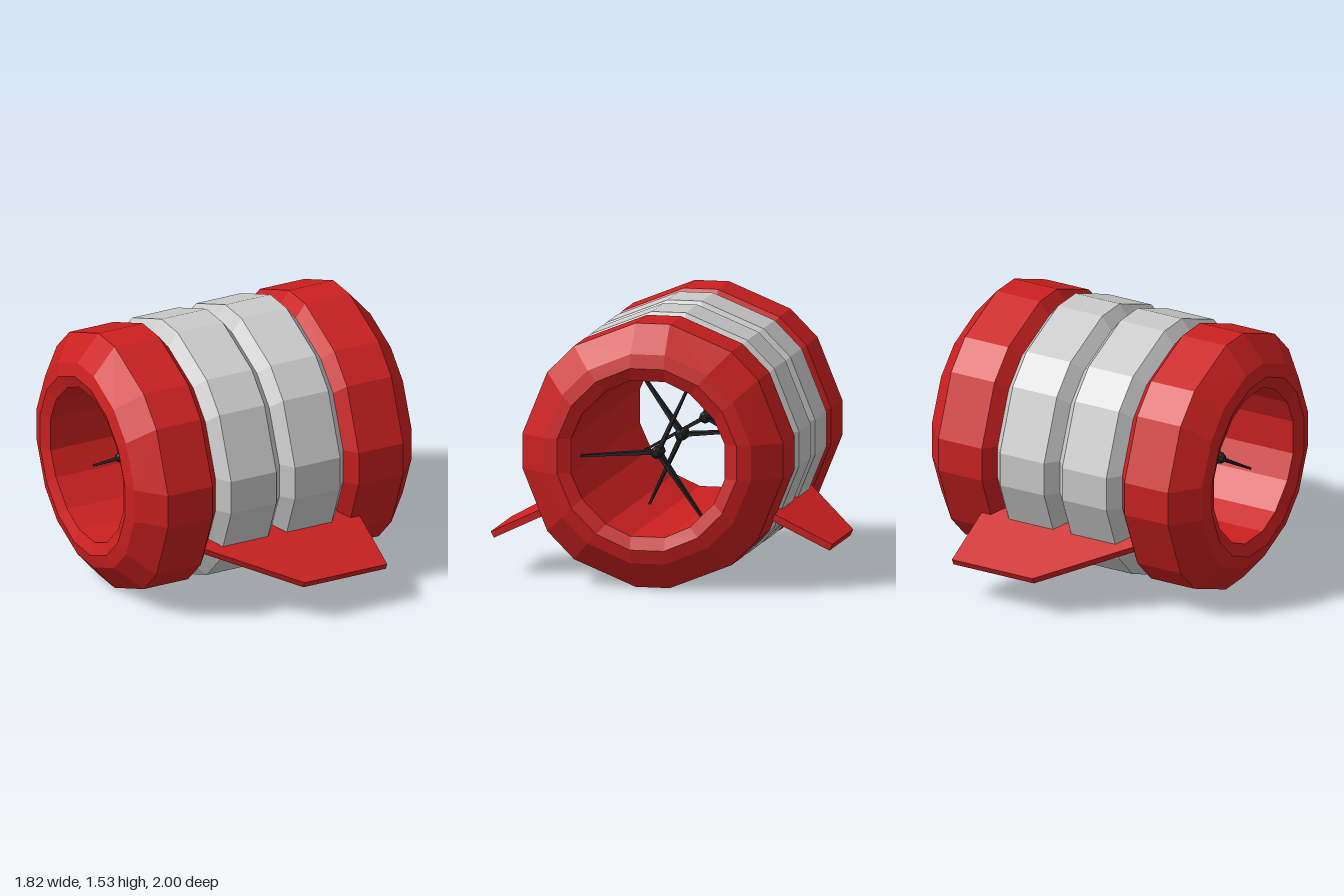
import * as THREE from 'three';

const AXIS_Y = 0.763;
const BORE = 0.45;

const mat = (color, side = THREE.FrontSide) =>
  new THREE.MeshStandardMaterial({ color, flatShading: true, side });

// Sixteen-sided cross-section [z, y] whose flats lie at distance a from the axis
function section(a) {
  const q = 0.385 + 0.742 * (a - BORE), r = 0.245 + 0.687 * (a - BORE);
  const quarter = [[a, 0.1], [q, r], [r, q], [0.1, a]];
  const pts = [];
  for (let k = 0; k < 4; k++) {
    for (const [u, v] of quarter) {
      pts.push([[u, v], [-v, u], [-u, -v], [v, -u]][k]);
    }
  }
  return pts;
}

// Sweeps a profile of [x, a] points around the x axis
function ringGeometry(profile) {
  const pos = [], idx = [], n = 16;
  for (const [x, a] of profile) {
    for (const [z, y] of section(a)) pos.push(x, y, z);
  }
  for (let i = 0; i < profile.length - 1; i++) {
    for (let j = 0; j < n; j++) {
      const a = i * n + j, d = i * n + (j + 1) % n, b = a + n, c = d + n;
      idx.push(a, b, c, a, c, d);
    }
  }
  const g = new THREE.BufferGeometry();
  g.setAttribute('position', new THREE.Float32BufferAttribute(pos, 3));
  g.setIndex(idx);
  const flat = g.toNonIndexed();
  flat.computeVertexNormals();
  return flat;
}

function addMesh(parent, name, geometry, material) {
  const m = new THREE.Mesh(geometry, material);
  m.name = name;
  parent.add(m);
  return m;
}

// Three-bladed fan turning about the x axis
function createFan(name, x, degrees, material) {
  const fan = new THREE.Group();
  fan.name = name;
  fan.position.x = x;
  const hub = new THREE.CylinderGeometry(0.035, 0.035, 0.09, 8).rotateZ(Math.PI / 2);
  addMesh(fan, 'hub', hub, material);
  for (const s of [-1, 1]) {
    const cap = new THREE.CylinderGeometry(0.018, 0.035, 0.025, 8).rotateZ(-s * Math.PI / 2);
    addMesh(fan, 'hubCap', cap, material).position.x = s * 0.0575;
  }
  for (let k = 0; k < 3; k++) {
    // Tapered blade, broad along the axis and thin across it
    const g = new THREE.BoxGeometry(0.075, 0.44, 0.022);
    const p = g.attributes.position;
    for (let i = 0; i < p.count; i++) {
      if (p.getY(i) > 0) {
        p.setX(i, p.getX(i) * 0.45);
        p.setZ(i, p.getZ(i) * 0.5);
      }
    }
    g.translate(0, 0.235, 0);
    const blade = addMesh(fan, 'blade', g, material);
    // Angle is counted from -z towards +y
    blade.rotation.x = THREE.MathUtils.degToRad(degrees + 120 * k - 90);
  }
  return fan;
}

export function createModel() {
  const model = new THREE.Group();
  model.name = 'ductedFan';
  const red = mat(0xcc2020), grey = mat(0xcccccc), black = mat(0x222222);

  const duct = new THREE.Group();
  duct.name = 'duct';
  duct.position.y = AXIS_Y;
  model.add(duct);

  // Red end rings, each with its lip and half of the bore
  const end = [[0.41, 0.685], [0.47, 0.763], [0.755, 0.763], [0.89, 0.605],
    [0.91, 0.525], [0.88, BORE], [0, BORE]];
  const mirrored = end.map(([x, a]) => [-x, a]).reverse();
  addMesh(duct, 'leftEndRing', ringGeometry(end), red);
  addMesh(duct, 'rightEndRing', ringGeometry(mirrored), red);

  // Grey middle bands with bevelled edges
  for (const s of [-1, 1]) {
    const c = s * 0.205;
    const band = [[c - 0.205, 0.685], [c - 0.145, 0.763], [c + 0.145, 0.763], [c + 0.205, 0.685]];
    addMesh(duct, s > 0 ? 'leftBand' : 'rightBand', ringGeometry(band), grey);
  }

  // Three fans in a row, each turned a little further
  duct.add(createFan('leftFan', 0.62, 65, black));
  duct.add(createFan('middleFan', 0, 5, black));
  duct.add(createFan('rightFan', -0.62, 90, black));

  // Swept side fins sloping down and outwards
  const tilt = 0.445, span = 0.45;
  const outline = new THREE.Shape([[-0.54, 0], [0.53, 0], [0.53, span], [0, span]]
    .map(([x, d]) => new THREE.Vector2(x, d)));
  for (const s of [1, -1]) {
    const g = new THREE.ExtrudeGeometry(outline, { depth: 0.04, bevelEnabled: false });
    g.translate(0, 0, -0.02);
    // Lay the plate flat with its span along z, then tilt it
    g.rotateX(s * Math.PI / 2 + s * tilt);
    const fin = addMesh(model, s > 0 ? 'frontFin' : 'backFin', g, red);
    fin.position.set(0, 0.425, s * 0.585);
  }
  return model;
}
